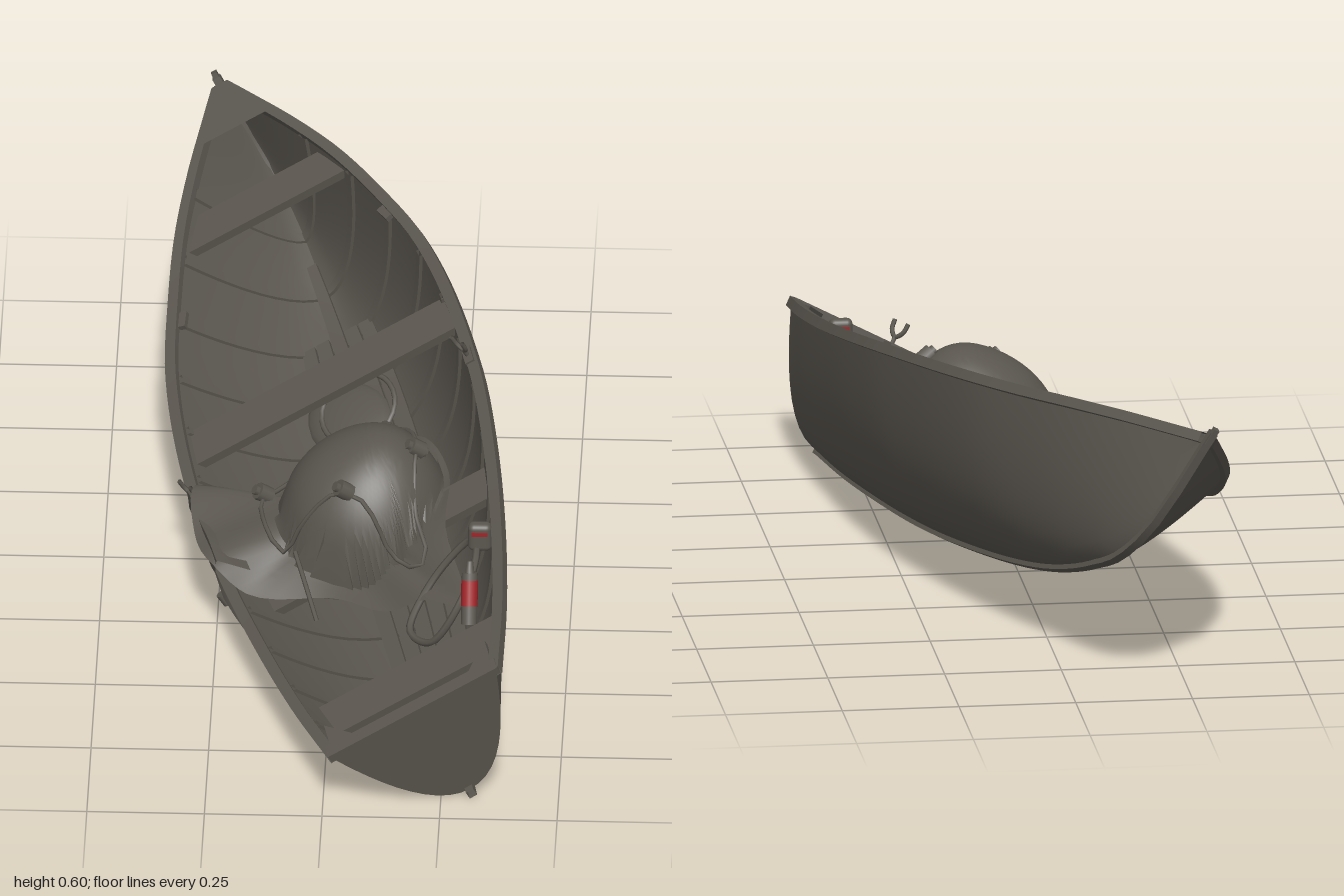
import * as THREE from 'three';
import { toCreasedNormals } from 'three/addons/utils/BufferGeometryUtils.js';
import { RoundedBoxGeometry } from 'three/addons/geometries/RoundedBoxGeometry.js';

const V = (x, y, z) => new THREE.Vector3(x, y, z);
const weathered = new THREE.MeshStandardMaterial({ color: 0x5a564f, side: THREE.DoubleSide });
weathered.name = 'weatheredGrey';
const red = new THREE.MeshStandardMaterial({ color: 0xa02428 });
red.name = 'labelRed';

// Hull lines by distance s from the stern: half beam, sheer height, keel height, fullness
const stations = [0, 0.2, 0.44, 0.7, 0.95, 1.36, 1.56, 1.72, 1.86, 1.95, 2.0, 2.03];
const lines = new THREE.CubicInterpolant(stations, [
  0.202, 0, -0.27, 2.05, 0.249, -0.022, -0.303, 2.1, 0.292, -0.042, -0.333, 2.15,
  0.326, -0.056, -0.359, 2.25, 0.342, -0.064, -0.373, 2.3, 0.311, -0.067, -0.378, 2.0,
  0.253, -0.058, -0.366, 1.8, 0.191, -0.044, -0.34, 1.6, 0.117, -0.029, -0.295, 1.4,
  0.062, -0.02, -0.21, 1.3, 0.031, -0.015, -0.11, 1.2, 0.012, -0.012, -0.03, 1.1], 4, new Float32Array(4));
function at(s) {
  const [w, top, keel, full] = lines.evaluate(s);
  return { w, top, keel, full };
}
// Point on a cross-section, a = -1 (right rail) .. 1 (left rail)
function hullPoint(s, a, inset = 0) {
  const { w, top, keel, full } = at(s);
  const k = Math.min(keel + inset, top);
  return V(Math.max(w - inset, 0.001) * a, k + (top - k) * Math.abs(a) ** full, -s);
}
// Half width available inside the hull at height y
function widthAt(s, y) {
  const { w, top, keel, full } = at(s);
  return (w - 0.01) * Math.min(1, Math.max(0, (y - keel) / (top - keel))) ** (1 / full);
}
const range = (n, a, b) => Array.from({ length: n + 1 }, (_, i) => a + (b - a) * i / n);
const across = range(28, -1, 1).map(t => Math.sin(t * Math.PI / 2));

// Skin over rows of points
function loft(rows, closed = false) {
  const n = rows[0].length, idx = [];
  for (let i = 0; i < rows.length - 1; i++)
    for (let j = 0; j < (closed ? n : n - 1); j++) {
      const a = i * n + j, b = i * n + (j + 1) % n;
      idx.push(a, a + n, b, b, a + n, b + n);
    }
  const g = new THREE.BufferGeometry().setFromPoints(rows.flat());
  g.setIndex(idx);
  return toCreasedNormals(g, 0.6);
}
function add(parent, name, geo, pos = [0, 0, 0], rot = [0, 0, 0], mat = weathered) {
  const m = new THREE.Mesh(geo, mat);
  m.name = name;
  m.position.set(...pos);
  m.rotation.set(...rot);
  parent.add(m);
  return m;
}
const box = (x, y, z) => new THREE.BoxGeometry(x, y, z);
const rope = (pts, r = 0.006, closed = false) =>
  new THREE.TubeGeometry(new THREE.CatmullRomCurve3(pts.map(p => V(...p)), closed), 40, r, 6, closed);

function buildBoat() {
  const boat = new THREE.Group();
  boat.name = 'boat';
  const along = range(48, 0, 2.03);
  add(boat, 'hullOuter', loft(along.map(s => across.map(a => hullPoint(s, a)))));
  add(boat, 'hullInner', loft(along.map(s => across.map(a => hullPoint(s, a, 0.012)))));

  // Transom with top rail and corner knees
  const outline = new THREE.Shape(across.map(a => { const p = hullPoint(0, a); return new THREE.Vector2(p.x, p.y); }));
  add(boat, 'transom', new THREE.ExtrudeGeometry(outline, { depth: 0.022, bevelEnabled: false }), [0, 0, -0.02]);
  add(boat, 'transomRail', box(0.412, 0.018, 0.032), [0, -0.005, -0.014]);

  for (const side of [-1, 1]) {
    // Gunwale
    add(boat, 'gunwale', loft(along.map(s => {
      const { w, top } = at(s), x0 = Math.max(w - 0.018, 0), x1 = w + 0.007;
      return [[x0, 0.004], [x1, 0.004], [x1, -0.018], [x0, -0.018]].map(([x, y]) => V(side * x, top + y, -s));
    }), true));
    const knee = new THREE.Shape([[0, 0], [0.07, 0], [0, 0.08]].map(p => new THREE.Vector2(...p)));
    const k = add(boat, 'sternKnee', new THREE.ExtrudeGeometry(knee, { depth: 0.014, bevelEnabled: false }),
      [side * 0.196, -0.018, -0.02], [-Math.PI / 2, 0, 0]);
    k.scale.x = -side;
    // Oarlock and cleat
    const lock = new THREE.Group();
    lock.name = 'oarlock';
    lock.position.set(side * 0.332, -0.064, -0.97);
    add(lock, 'oarlockBase', box(0.02, 0.01, 0.045), [0, 0.004, 0]);
    add(lock, 'oarlockPin', new THREE.CylinderGeometry(0.005, 0.005, 0.03, 8), [0, 0.012, 0]);
    add(lock, 'oarlockHorns', rope([[0, 0.06, -0.02], [0, 0.038, -0.016], [0, 0.025, 0], [0, 0.038, 0.016], [0, 0.06, 0.02]], 0.005), [0, 0, 0], [0, 0.5, 0]);
    boat.add(lock);
    add(boat, 'cleat', box(0.02, 0.012, 0.04), [side * (at(1.5).w - 0.025), at(1.5).top - 0.012, -1.5], [0, side * 0.35, 0]);
  }

  // Keel and stem
  const spine = along.map(s => V(0, at(s).keel, -s));
  spine.unshift(V(0, -0.268, 0.02));
  spine.push(V(0, 0, -2.045));
  add(boat, 'keel', loft(spine.map((p, i) => {
    const t = spine[Math.min(i + 1, spine.length - 1)].clone().sub(spine[Math.max(i - 1, 0)]).normalize();
    const n = V(0, -t.z, t.y);
    return [[-1, 1], [1, 1], [1, -1], [-1, -1]].map(([x, k]) => p.clone().addScaledVector(n, 0.009 * k).add(V(x * 0.009, 0, 0)));
  }), true));
  add(boat, 'stemHead', box(0.012, 0.04, 0.016), [0, -0.01, -2.045], [-0.4, 0, 0]);

  // Triangular foredeck
  add(boat, 'breasthook', loft(range(6, 1.9, 2.03).map(s => [-1, 0, 1].map(a => V(a * at(s).w, at(s).top + 0.005, -s)))));

  // Ribs
  for (const s of range(11, 0.14, 1.8))
    add(boat, 'rib', loft([[-0.01, 0.01], [-0.01, 0.02], [0.01, 0.02], [0.01, 0.01]]
      .map(([d, inset]) => across.map(a => hullPoint(s + d, a * 0.98, inset)))));

  // Floorboards
  for (const i of [-2, -1, 0, 1, 2])
    add(boat, 'floorboard', loft(range(20, 0.03, i ? 1.5 : 1.7).map(s => {
      const { w, keel } = at(s), c = i * w * 0.125, h = w * 0.055;
      return [[c - h, 0.052], [c + h, 0.052], [c + h, 0.04], [c - h, 0.04]].map(([x, y]) => V(x, keel + y, -s));
    }), true));

  // Seats fitted to the hull sides: distance from stern, height, depth
  for (const [s, y, d] of [[0.09, -0.1, 0.07], [0.2, -0.1, 0.1], [0.68, -0.15, 0.09], [1.15, -0.1, 0.1], [1.72, -0.08, 0.09]])
    add(boat, 'seat', loft([-1, 1].map(side => [[-1, 1], [1, 1], [1, -1], [-1, -1]].map(([k, h]) => {
      const e = s + k * d / 2, yy = y + h * 0.01;
      return V(side * widthAt(e, yy), yy, -e);
    })), true));

  // Cloth and coiled line on the floor below the middle seat
  const lump = add(boat, 'clothBundle', new THREE.SphereGeometry(1, 20, 12), [-0.03, -0.335, -1.26], [0, 0.4, 0]);
  lump.scale.set(0.09, 0.03, 0.12);
  add(boat, 'ropeCoil', new THREE.TorusGeometry(0.085, 0.006, 6, 28), [0.02, -0.24, -1.18], [Math.PI / 2 + 0.2, 0, 0]);
  return boat;
}

function buildCargo() {
  const cargo = new THREE.Group();
  cargo.name = 'cargo';
  // Draped cover: a sheet with an uneven hem, pushed up by a round load
  const hem = new THREE.CatmullRomCurve3([[0.24, 0.34, 0.16], [0.24, 0.31, 0.36], [0.29, 0.26, 0.56], [0.2, 0.22, 0.5],
    [0.11, 0.18, 0.46], [0, 0.155, 0.4], [-0.18, 0.165, 0.38], [-0.26, 0.2, 0.34], [-0.3, 0.22, 0.22], [-0.3, 0.23, 0.08],
    [-0.2, 0.19, 0.06], [-0.06, 0.19, -0.06], [0.05, 0.23, -0.1], [0.18, 0.31, 0]].map(p => V(...p)), true);
  const middle = V(0.065, 0.26, 0.19);
  const drape = (u, f) => {
    const e = hem.getPoint(u), p = middle.clone().lerp(e, f);
    const r = Math.min(1, Math.hypot(p.x - middle.x, p.z - middle.z) / 0.185);
    const dome = 0.22 + 0.225 * Math.sqrt(1 - r * r) + 0.25 * (p.x - middle.x) * (1 - r);
    const sheet = p.y + 0.009 * Math.sin(u * Math.PI * 14 + f * 5) * f;
    p.y = r < 1 ? (dome + sheet + Math.hypot(dome - sheet, 0.02 * (1 - r))) / 2 : Math.max(sheet, 0.15);
    return p;
  };
  add(cargo, 'cover', loft(range(28, 0, 1).map(f => range(72, 0, 1).map(u => drape(u, f)))));

  // Flap hanging over the rail
  const fold = [[-0.24, 0.205], [-0.305, 0.22], [-0.3, 0.18], [-0.275, 0.11], [-0.245, 0.06], [-0.215, 0.015]];
  add(cargo, 'coverFlap', loft(fold.map(([x, y], i) => range(10, 0, 1).map(t => {
    const k = i / 5, z = (0.07 + 0.05 * k) + t * (0.29 - 0.11 * k);
    return V(x - 0.015 + t * (0.08 - 0.04 * k), y + 0.03 * k * (1 + Math.sin(t * 11)) / 2, z);
  }))));
  add(cargo, 'flapToggle', new THREE.CylinderGeometry(0.011, 0.011, 0.028, 8), [-0.235, 0.055, 0.24], [0, 0, 0.6]);

  // Lashing ring, floats and loose lines
  const lash = range(24, 0, 1).slice(0, 24).map(u => drape(u, 0.6).add(V(0, 0.004, 0)).toArray());
  add(cargo, 'lashing', rope(lash, 0.005, true));
  for (const u of [0.02, 0.36, 0.64, 0.9]) {
    const p = drape(u, 0.6);
    add(cargo, 'float', new THREE.CylinderGeometry(0.019, 0.019, 0.032, 10), [p.x, p.y + 0.008, p.z], [0.4, 0, 0.9]);
    add(cargo, 'floatCollar', new THREE.CylinderGeometry(0.011, 0.011, 0.05, 8), [p.x, p.y + 0.008, p.z], [0.4, 0, 0.9]);
  }
  add(cargo, 'line', rope([[-0.08, 0.26, 0.37], [-0.06, 0.225, 0.42], [-0.03, 0.165, 0.49]], 0.005));

  // Hose loop, pouch with red label, canister with red body wrap
  add(cargo, 'hoseLoop', rope([[0.3, 0.36, 0.46], [0.31, 0.36, 0.54], [0.28, 0.3, 0.62], [0.22, 0.2, 0.62], [0.17, 0.18, 0.54], [0.22, 0.26, 0.46]], 0.008, true));
  add(cargo, 'pouch', new RoundedBoxGeometry(0.05, 0.065, 0.03, 3, 0.012), [0.318, 0.393, 0.5]);
  add(cargo, 'pouchLabel', box(0.034, 0.009, 0.034), [0.318, 0.406, 0.5], [0, 0, 0], red);
  const can = new THREE.Group();
  can.name = 'canister';
  can.position.set(0.3, 0.315, 0.625);
  can.rotation.set(-0.45, 0, 0);
  add(can, 'canisterBody', new THREE.CylinderGeometry(0.017, 0.017, 0.11, 16));
  add(can, 'canisterNeck', new THREE.CylinderGeometry(0.007, 0.011, 0.03, 10), [0, 0.065, 0]);
  add(can, 'canisterLabel', new THREE.CylinderGeometry(0.0178, 0.0178, 0.055, 16, 1, true), [0, 0.012, 0], [0, 0, 0], red);
  cargo.add(can);
  return cargo;
}

export function createModel() {
  const model = new THREE.Group();
  model.name = 'rowboat';
  // The boat lies heeled over, bow raised
  const boat = buildBoat();
  const z = V(0.239, -0.165, 0.956).normalize();
  const x = V(0.862, 0.485, -0.146);
  x.addScaledVector(z, -x.dot(z)).normalize();
  boat.applyMatrix4(new THREE.Matrix4().makeBasis(x, z.clone().cross(x), z).setPosition(0.1925, 0.245, 0.97));
  model.add(boat, buildCargo());
  return model;
}
